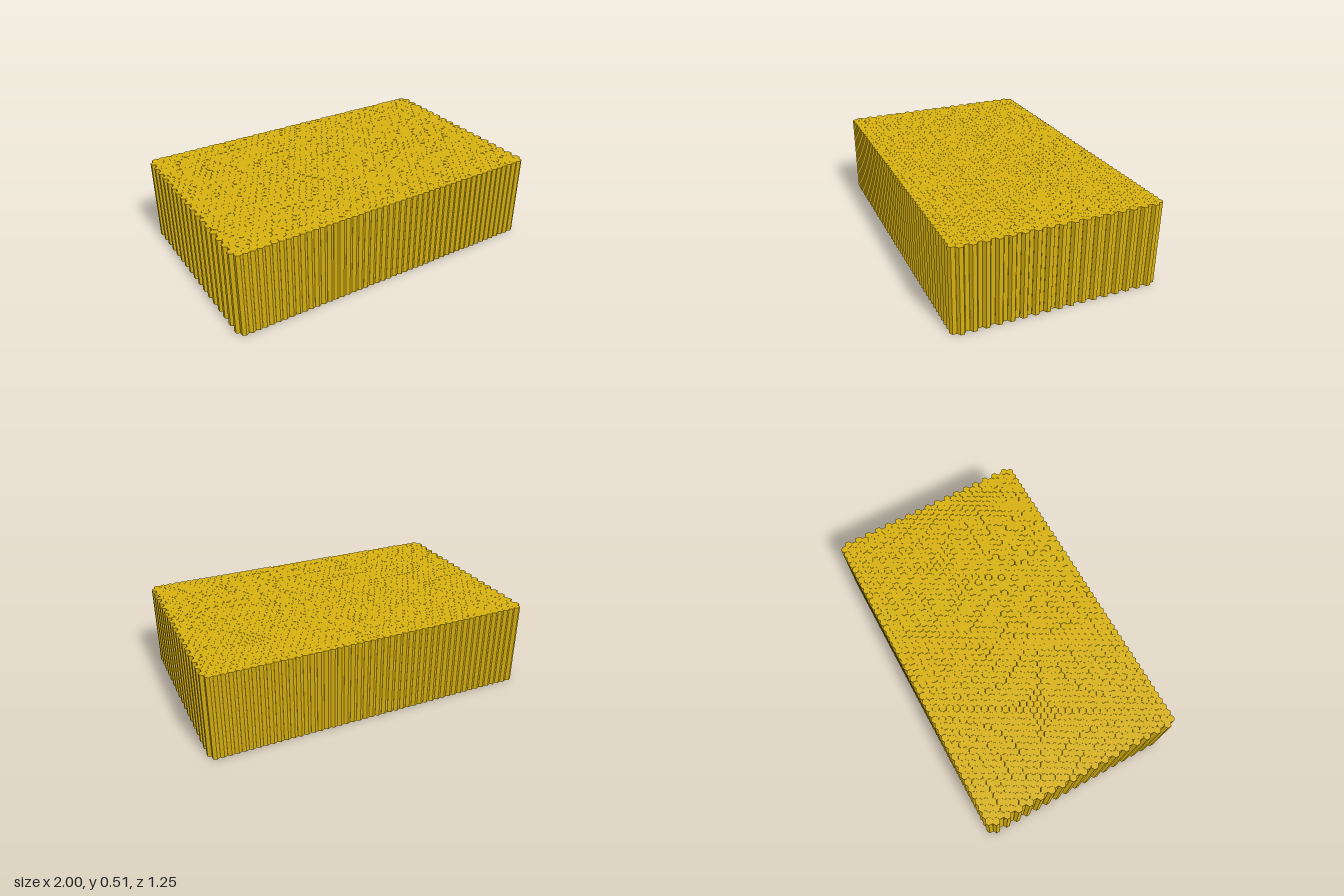
import * as THREE from 'three';
import { mergeGeometries } from 'three/addons/utils/BufferGeometryUtils.js';

const LONG_ROW = 49;                   // cells in a long row; short rows have one less
const ROWS = 35;                       // short and long rows alternate, short ones outermost
const HEIGHT = 0.512;
const CELL_WIDTH = 2 / LONG_ROW;       // flat to flat, along x
const PITCH_RADIUS = CELL_WIDTH / Math.sqrt(3);
const CELL_RADIUS = PITCH_RADIUS * 0.985; // hairline gap between cells

// One hexagonal cell, capped on top and open underneath, corners pointing along z
function createCell() {
  const walls = new THREE.CylinderGeometry(CELL_RADIUS, CELL_RADIUS, HEIGHT, 6, 1, true);
  walls.translate(0, HEIGHT / 2, 0);
  const cap = new THREE.CircleGeometry(CELL_RADIUS, 6, Math.PI / 2);
  cap.rotateX(-Math.PI / 2).translate(0, HEIGHT, 0);
  return mergeGeometries([walls, cap]);
}

// A row of cells side by side, centred on x = 0
function createRow(cell, count) {
  const cells = [];
  for (let i = 0; i < count; i++) {
    cells.push(cell.clone().translate((i - (count - 1) / 2) * CELL_WIDTH, 0, 0));
  }
  return mergeGeometries(cells);
}

export function createModel() {
  const model = new THREE.Group();
  model.name = 'honeycombBlock';

  const material = new THREE.MeshStandardMaterial({
    color: 0xd6b010, flatShading: true, side: THREE.DoubleSide,
  });
  const cell = createCell();
  const shortRow = createRow(cell, LONG_ROW - 1);
  const longRow = createRow(cell, LONG_ROW);

  // Nest the rows into each other from back to front
  for (let r = 0; r < ROWS; r++) {
    const isLong = r % 2 === 1;
    const row = new THREE.Mesh(isLong ? longRow : shortRow, material);
    row.name = isLong ? 'longCellRow' : 'shortCellRow';
    row.position.z = (r - (ROWS - 1) / 2) * PITCH_RADIUS * 1.5;
    model.add(row);
  }
  return model;
}
